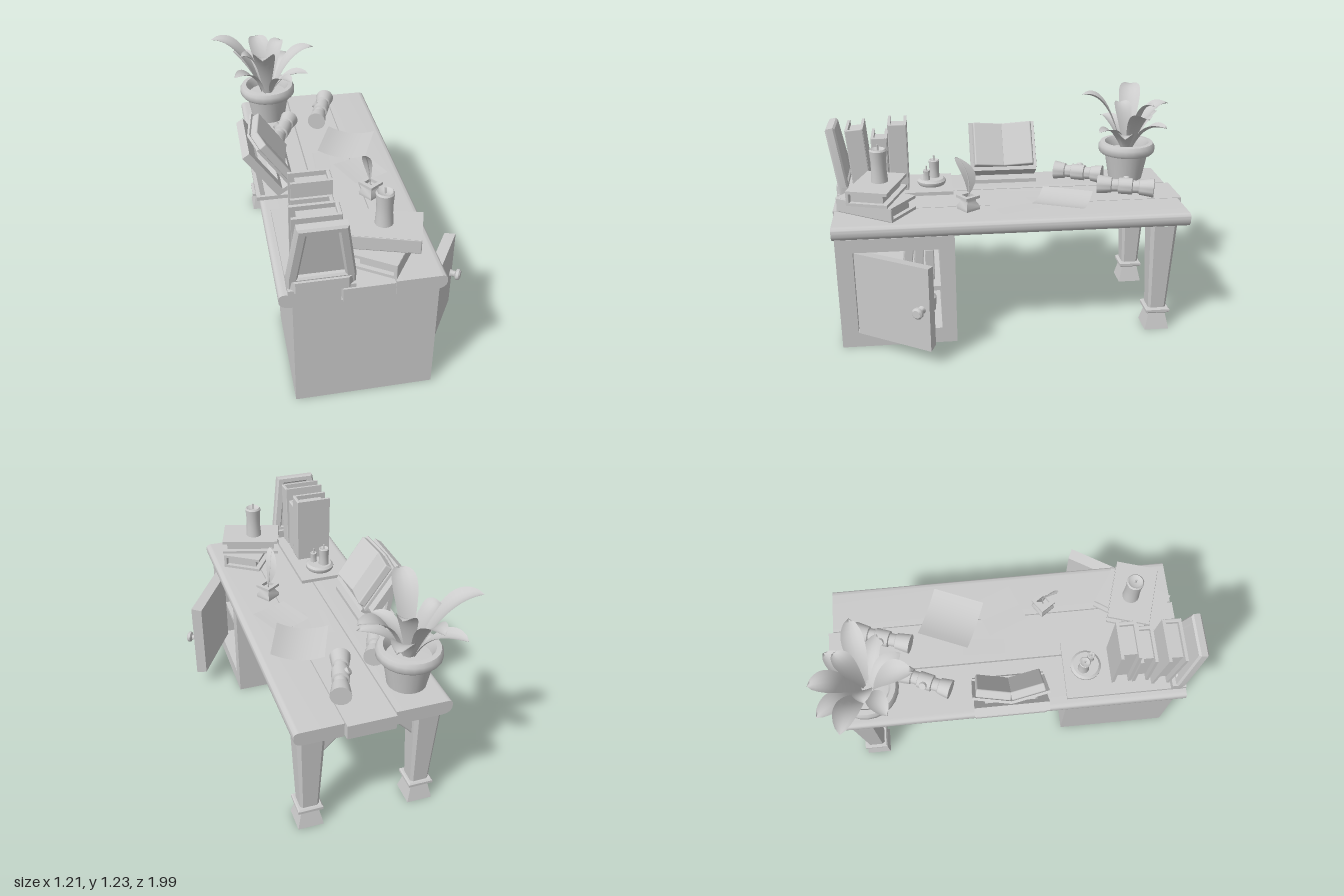
import * as THREE from 'three';
import { toCreasedNormals } from 'three/addons/utils/BufferGeometryUtils.js';
import { RoundedBoxGeometry } from 'three/addons/geometries/RoundedBoxGeometry.js';
import { ParametricGeometry } from 'three/addons/geometries/ParametricGeometry.js';

const mat = new THREE.MeshStandardMaterial({ color: 0xcccccc });
const thin = new THREE.MeshStandardMaterial({ color: 0xcccccc, side: THREE.DoubleSide });
const V3 = (x, y, z) => new THREE.Vector3(x, y, z);

function add(parent, name, geo, pos = [0, 0, 0], rot = [0, 0, 0], material = mat) {
  const m = new THREE.Mesh(geo, material);
  m.name = name;
  m.position.set(...pos);
  m.rotation.set(...rot);
  parent.add(m);
}
function addGroup(parent, name, pos = [0, 0, 0], rot = [0, 0, 0]) {
  const g = new THREE.Group();
  g.name = name;
  g.position.set(...pos);
  g.rotation.set(...rot);
  parent.add(g);
  return g;
}
const box = (w, h, d) => new THREE.BoxGeometry(w, h, d);
// outlines run counter-clockwise
const poly = (pts) => new THREE.Shape(pts.map((p) => new THREE.Vector2(...p)));
const rect = (x0, x1, y0, y1) => poly([[x0, y0], [x1, y0], [x1, y1], [x0, y1]]);
const extrude = (shape, depth, bevel = 0) => toCreasedNormals(new THREE.ExtrudeGeometry(shape, {
  depth, bevelEnabled: bevel > 0, bevelSize: bevel, bevelThickness: bevel, bevelOffset: -bevel, bevelSegments: 1, curveSegments: 6,
}), 0.7);
// profile runs bottom to top as [radius, y]; square turns have four sides
const lathe = (pts, seg = 20) => toCreasedNormals(
  new THREE.LatheGeometry(pts.map((p) => new THREE.Vector2(...p)), seg, seg === 4 ? Math.PI / 4 : 0), 0.7);
const squareTurned = (pts) => lathe(pts.map(([r, y]) => [r * Math.SQRT2, y]), 4);

// closed book: thickness along y, length along z, spine on +x
function book(parent, name, w, t, len, pos, rot) {
  const g = addGroup(parent, name, pos, rot), c = 0.016;
  for (const s of [-1, 1]) add(g, 'cover', box(w, c, len), [0, s * (t - c) / 2, 0]);
  add(g, 'spine', new RoundedBoxGeometry(0.02, t, len, 2, 0.006), [w / 2 - 0.008, 0, 0]);
  add(g, 'pages', box(w - 0.04, t - 2 * c, len - 0.05), [0.01, 0, 0]);
}

// blade swept along a curve, narrow at the stem and slightly cupped
function blade(parent, name, a, b, c, side, width, cup) {
  const curve = new THREE.QuadraticBezierCurve3(a, b, c);
  const geo = new ParametricGeometry((u, v, out) => {
    const s = u * 2 - 1, w = width * (0.2 * (1 - v) + 0.95 * Math.max(0, Math.sin(Math.PI * Math.pow(v, 1.4))) ** 0.65);
    out.copy(curve.getPoint(v)).addScaledVector(side, s * w);
    out.y += cup * s * s * w;
  }, 4, 14);
  add(parent, name, geo, [0, 0, 0], [0, 0, 0], thin);
}

function candle(parent, r, h, pos) {
  const g = addGroup(parent, 'candle', pos);
  add(g, 'wax', lathe([[0, 0], [r, 0], [r * 0.9, h * 0.35], [r * 0.9, h * 0.6], [r, h * 0.95], [r * 0.85, h], [r * 0.6, h * 0.95], [0, h * 0.95]], 16));
  add(g, 'wick', new THREE.CylinderGeometry(0.005, 0.005, 0.035, 8), [0, h + 0.007, 0]);
}

function buildDesk(root) {
  // three planks, the outer two rounded along their long edge
  const y0 = 0.637, y1 = 0.716;
  const outerPlank = (inner, edge) => {
    const d = Math.sign(edge), s = new THREE.Shape();
    s.moveTo(inner, y0);
    s.lineTo(edge - d * 0.06, y0);
    s.quadraticCurveTo(edge, y0, edge, y0 + 0.045);
    s.lineTo(edge, y1 - 0.025);
    s.quadraticCurveTo(edge, y1, edge - d * 0.03, y1);
    s.lineTo(inner, y1);
    add(root, 'outerPlank', extrude(s, 1.9), [0, 0, -0.94]);
  };
  outerPlank(-0.15, -0.445);
  outerPlank(0.112, 0.362);
  add(root, 'middlePlank', extrude(rect(-0.143, 0.107, y0, y1), 1.935), [0, 0, -0.965]);

  // tapered leg: chamfered shaft, collar and flared foot, with a diagonal brace
  const shaft = new THREE.LatheGeometry([[0.05, 0.12], [0.07, 0.55], [0.074, 0.637]]
    .map(([r, y]) => new THREE.Vector2(r * 1.082, y)), 8, Math.PI / 8);
  const p = shaft.attributes.position;
  for (let i = 0; i < p.count; i++) {
    if (Math.abs(p.getX(i)) < Math.abs(p.getZ(i))) p.setX(i, p.getX(i) * 1.8);
    else p.setZ(i, p.getZ(i) * 1.8);
  }
  const shaftGeo = toCreasedNormals(shaft, 0.5);
  const foot = squareTurned([[0, 0], [0.069, 0], [0.046, 0.1], [0.06, 0.1], [0.067, 0.107], [0.067, 0.122], [0.06, 0.13], [0, 0.13]]);
  for (const [x, s] of [[-0.357, 1], [0.252, -1]]) {
    add(root, 'legShaft', shaftGeo, [x, 0, -0.81]);
    add(root, 'legFoot', foot, [x, 0, -0.81]);
    add(root, 'brace', new RoundedBoxGeometry(0.3, 0.06, 0.06, 2, 0.012), [x + s * 0.1, 0.535, -0.81], [0, 0, s * 0.8]);
  }
}

function buildCabinet(root) {
  const g = addGroup(root, 'cabinet');
  const shell = rect(-0.95, -0.325, 0, 0.637);
  shell.holes.push(rect(-0.86, -0.405, 0.09, 0.562));
  add(g, 'shell', extrude(shell, 0.647), [-0.32, 0, 0], [0, Math.PI / 2, 0]);
  add(g, 'backPanel', box(0.06, 0.637, 0.625), [-0.35, 0.3185, 0.6375]);
  add(g, 'shelf', box(0.6, 0.025, 0.455), [-0.02, 0.31, 0.632]);
  // contents of the shelves
  for (let i = 0; i < 3; i++) {
    book(g, 'storedBook', 0.18, 0.05, 0.18 + 0.015 * i, [0.12, 0.42, 0.46 + i * 0.06], [-Math.PI / 2 - 0.06 * i, 0, 0]);
    add(g, 'jar', lathe([[0, 0], [0.045, 0], [0.05, 0.08], [0.022, 0.11], [0.022, 0.14], [0.03, 0.15], [0, 0.15]], 14), [0.1, 0.09, 0.48 + i * 0.12]);
  }
  // open door hinged at its front edge, inner face slightly smaller
  const door = addGroup(g, 'door', [0.333, 0.326, 0.855], [0, -0.55, 0]);
  const panel = box(0.06, 0.476, 0.45), p = panel.attributes.position;
  for (let i = 0; i < p.count; i++) if (p.getX(i) < 0) p.setXYZ(i, p.getX(i), p.getY(i) * 0.96, p.getZ(i) * 0.97);
  panel.computeVertexNormals();
  add(door, 'doorPanel', panel, [-0.03, 0, -0.225]);
  add(door, 'knob', lathe([[0, 0], [0.022, 0], [0.016, 0.015], [0.016, 0.028], [0.031, 0.036], [0.031, 0.05], [0.022, 0.058], [0, 0.058]], 14),
    [0, 0, -0.405], [0, 0, -Math.PI / 2]);
}

function buildPlant(root) {
  const g = addGroup(root, 'pottedPlant'), c = [-0.288, 0.716, -0.738];
  add(g, 'pot', lathe([[0, 0], [0.1, 0], [0.128, 0.155], [0.155, 0.157], [0.166, 0.172], [0.166, 0.202], [0.155, 0.22],
    [0.13, 0.222], [0.118, 0.2], [0.112, 0.165], [0, 0.17]], 24), c);
  // leaf tips with half width
  const tips = [[-0.605, 1.215, -0.825, 0.062], [0.01, 1.14, -0.78, 0.056], [-0.33, 1.215, -0.465, 0.062], [-0.49, 1.05, -0.62, 0.05],
    [-0.16, 1.03, -0.54, 0.048], [-0.13, 1.05, -0.93, 0.055], [-0.33, 1.15, -0.99, 0.06], [-0.47, 1.07, -0.965, 0.055],
    [-0.18, 1.17, -0.86, 0.05], [-0.04, 1.02, -0.66, 0.045], [-0.44, 1.14, -0.72, 0.05]];
  for (const [x, y, z, w] of tips) {
    const d = V3(x - c[0], 0, z - c[2]), base = V3(c[0], 0.875, c[2]).addScaledVector(d, 0.1);
    const mid = V3(c[0], y + 0.03, c[2]).addScaledVector(d, 0.42);
    blade(g, 'leaf', base, mid, V3(x, y, z), V3(-d.z, 0, d.x).normalize(), w, 0.35);
  }
}

function buildBookRow(root) {
  const g = addGroup(root, 'bookRow');
  add(g, 'baseBoard', box(0.32, 0.02, 0.65), [-0.24, 0.726, 0.635]);
  const up = -Math.PI / 2;
  book(g, 'uprightBook', 0.2, 0.105, 0.385, [-0.235, 0.928, 0.612], [up, 0, 0]);
  book(g, 'uprightBook', 0.2, 0.09, 0.31, [-0.24, 0.89, 0.715], [up, 0, 0]);
  book(g, 'uprightBook', 0.23, 0.1, 0.36, [-0.25, 0.918, 0.835], [up + 0.08, 0, 0]);
  // leaning bookend: trapezoid frame with a recessed panel
  const end = addGroup(g, 'bookend', [-0.24, 0.722, 0.885], [0.17, 0, 0]);
  const trap = (b, y0, t, y1) => poly([[-b, y0], [b, y0], [t, y1], [-t, y1]]);
  const frame = poly([[-0.162, 0], [0.162, 0], [0.162, 0.08], [0.115, 0.398], [-0.115, 0.398], [-0.162, 0.08]]);
  frame.holes.push(trap(0.11, 0.085, 0.07, 0.355));
  add(end, 'frame', extrude(frame, 0.035, 0.01), [0, 0, 0.01]);
  add(end, 'panel', extrude(trap(0.115, 0.08, 0.075, 0.36), 0.02), [0, 0, 0.008]);
  add(g, 'bookendFoot', extrude(poly([[-0.162, 0], [0.162, 0], [0.162, 0.055], [0.125, 0.09], [-0.125, 0.09], [-0.162, 0.055]]), 0.06),
    [-0.24, 0.782, 0.875], [Math.PI / 2, 0, 0]);
  // candle dish
  add(g, 'dish', lathe([[0, 0], [0.075, 0], [0.083, 0.012], [0.083, 0.024], [0.07, 0.036], [0, 0.036]]), [-0.23, 0.736, 0.43]);
  candle(g, 0.031, 0.105, [-0.25, 0.77, 0.413]);
  candle(g, 0.02, 0.06, [-0.2, 0.77, 0.458]);
}

function buildOpenBook(root) {
  // slanted stand with an open book, leaning towards -x
  add(root, 'standBase', box(0.21, 0.022, 0.38), [-0.355, 0.727, 0]);
  const g = addGroup(root, 'bookStand', [-0.345, 0.732, 0], [0, 0, 0.6]);
  const board = rect(-0.19, 0.19, 0, 0.31);
  board.holes.push(rect(-0.135, 0.135, 0.05, 0.25));
  add(g, 'standFrame', extrude(board, 0.045), [0, 0, 0], [0, Math.PI / 2, 0]);
  add(g, 'ledge', box(0.1, 0.022, 0.38), [0.06, 0.011, 0]);
  for (const s of [-1, 1]) {
    const half = addGroup(g, 'bookHalf', [0.054, 0.16, 0], [0, s * 0.2, 0]);
    add(half, 'cover', box(0.014, 0.285, 0.2), [0, 0, s * 0.1]);
    add(half, 'pages', new RoundedBoxGeometry(0.045, 0.265, 0.18, 2, 0.008), [0.027, 0, s * 0.094]);
    add(root, 'standProp', box(0.025, 0.24, 0.025), [-0.435, 0.815, s * 0.16], [0, 0, 0.12]);
  }
}

function buildDeskItems(root) {
  // stacked books with a candle
  book(root, 'stackedBook', 0.225, 0.08, 0.36, [0.12, 0.757, 0.735], [0, -0.585, 0]);
  book(root, 'stackedBook', 0.225, 0.08, 0.335, [0.12, 0.838, 0.725], [0, 1.27 + Math.PI, 0]);
  candle(root, 0.046, 0.18, [0.105, 0.878, 0.71]);

  // square inkwell with a quill
  const ink = addGroup(root, 'inkwell', [0.15, 0.716, 0.24], [0, 0.6, 0]);
  add(ink, 'well', squareTurned([[0, 0], [0.044, 0], [0.046, 0.018], [0.03, 0.045], [0.03, 0.058], [0.046, 0.065], [0.046, 0.08], [0.025, 0.08], [0.025, 0.06], [0, 0.06]]));
  blade(root, 'quillFeather', V3(0.145, 0.81, 0.235), V3(0.13, 0.93, 0.21), V3(0.105, 1.0, 0.3), V3(0.35, 0.3, 0.89).normalize(), 0.047, 0);
  add(root, 'quillShaft', new THREE.TubeGeometry(new THREE.QuadraticBezierCurve3(V3(0.15, 0.76, 0.24), V3(0.14, 0.9, 0.215), V3(0.11, 0.98, 0.28)), 10, 0.004, 6));

  // rolled scrolls with flared ends, a middle band and a seal
  const scroll = (x0, z0, x1, z1, y) => {
    const g = addGroup(root, 'scroll', [(x0 + x1) / 2, y, (z0 + z1) / 2], [0, Math.atan2(x1 - x0, z1 - z0), 0]);
    const h = Math.hypot(x1 - x0, z1 - z0) / 2;
    const half = [[0.046, 0.038], [0.036, 0.042], [0.036, 0.075], [0.044, 0.08], [0.054, h], [0, h]];
    add(g, 'roll', lathe([...half.map(([r, v]) => [r, -v]).reverse(), ...half], 18), [0, 0, 0], [Math.PI / 2, 0, 0]);
    add(g, 'seal', new THREE.CylinderGeometry(0.02, 0.022, 0.016, 14), [0.037, 0.03, 0], [0, 0, -0.9]);
  };
  scroll(-0.3, -0.31, -0.18, -0.57, 0.77);
  scroll(-0.02, -0.51, 0.085, -0.81, 0.77);

  // loose papers, the far one curling up
  const paper = (w, d, x, z, turn, y, curl) => {
    const geo = new THREE.PlaneGeometry(w, d, 8, 1).rotateX(-Math.PI / 2), p = geo.attributes.position;
    for (let i = 0; i < p.count; i++) p.setY(i, curl * Math.pow(Math.abs(p.getX(i)) / (w / 2), 2));
    geo.computeVertexNormals();
    add(root, 'paper', geo, [x, y, z], [0, turn, 0], thin);
  };
  paper(0.28, 0.29, 0.12, -0.28, -0.4, 0.722, 0.03);
  paper(0.215, 0.23, 0.145, -0.005, 0.38, 0.726, 0.004);
  paper(0.2, 0.23, 0.0, -0.11, -0.05, 0.719, 0.002);
}

export function createModel() {
  const root = new THREE.Group();
  root.name = 'writingDesk';
  for (const build of [buildDesk, buildCabinet, buildPlant, buildBookRow, buildOpenBook, buildDeskItems]) build(root);
  return root;
}
